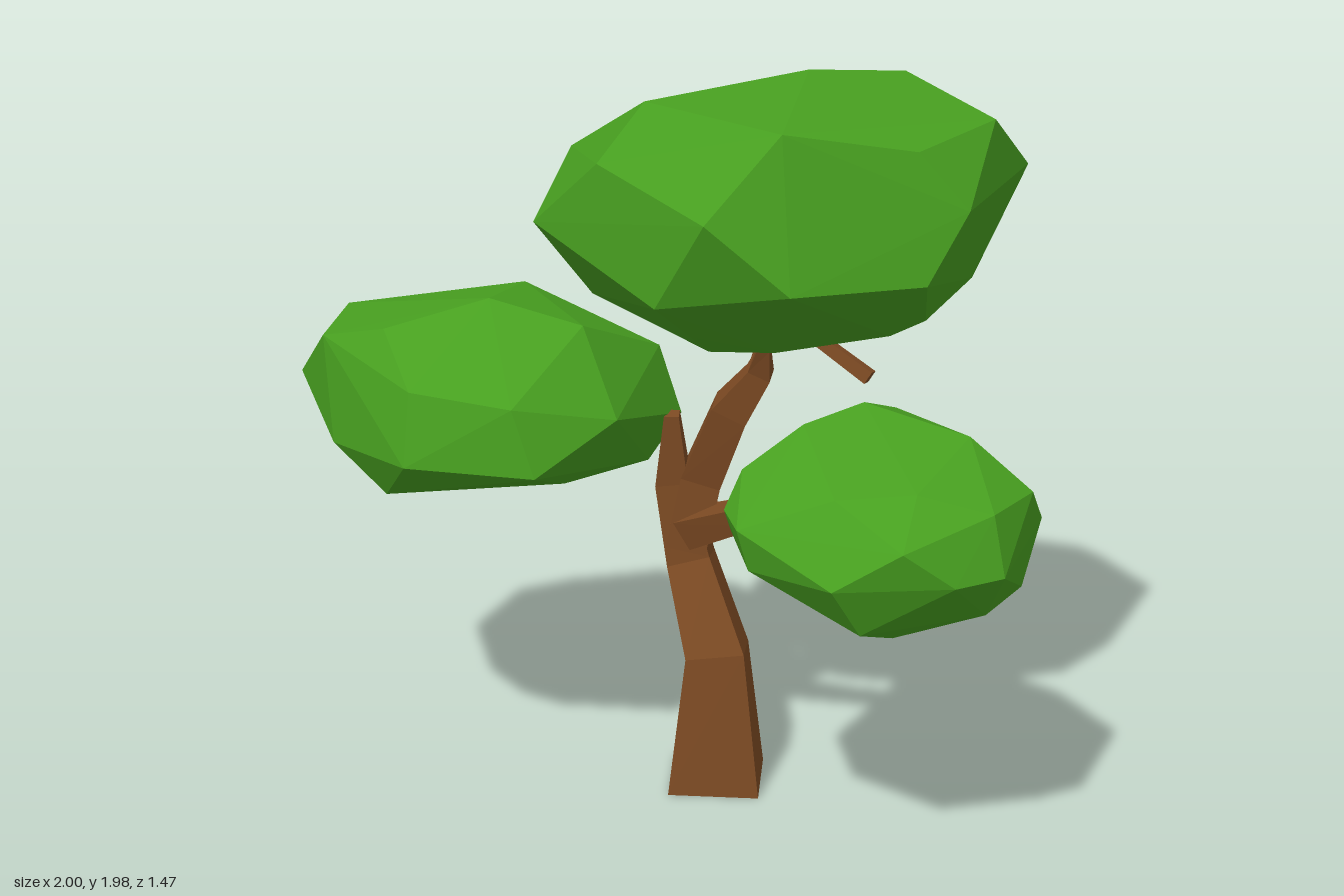
import * as THREE from 'three';
import { ConvexGeometry } from 'three/addons/geometries/ConvexGeometry.js';

const bark = new THREE.MeshStandardMaterial({ color: 0x7c4a23, flatShading: true });
const leaf = new THREE.MeshStandardMaterial({ color: 0x48a020, flatShading: true });

// Square-sectioned limb swept along stations [x, y, z, halfWidth]
function limbGeometry(stations, uprightStart) {
  const pts = stations.map(([x, y, z]) => new THREE.Vector3(x, y, z));
  const rings = stations.map((s, i) => {
    const t = pts[Math.min(i + 1, pts.length - 1)].clone().sub(pts[Math.max(i - 1, 0)]).normalize();
    if (i === 0 && uprightStart) t.set(0, 1, 0);
    const u = t.clone().cross(new THREE.Vector3(0, 0, 1)).normalize();
    const v = u.clone().cross(t);
    return [[-1, -1], [1, -1], [1, 1], [-1, 1]].map(([a, b]) =>
      pts[i].clone().addScaledVector(u, a * s[3]).addScaledVector(v, b * s[3]));
  });
  const out = [];
  const quad = (a, b, c, d) => out.push(a, b, c, a, c, d);
  for (let i = 0; i < rings.length - 1; i++) {
    for (let j = 0; j < 4; j++) {
      const k = (j + 1) % 4;
      quad(rings[i][k], rings[i][j], rings[i + 1][j], rings[i + 1][k]);
    }
  }
  const last = rings[rings.length - 1];
  quad(...rings[0]);
  quad(last[3], last[2], last[1], last[0]);
  const g = new THREE.BufferGeometry().setFromPoints(out);
  g.computeVertexNormals();
  return g;
}

// Faceted leaf clump wrapped around a few outer corners
function clumpGeometry(corners) {
  return new ConvexGeometry(corners.map((c) => new THREE.Vector3(...c)));
}

const limbs = {
  trunk: [[0.15, 0, -0.075, 0.124], [0.15, 0.385, -0.075, 0.08], [0.07, 0.62, -0.165, 0.06],
    [0.02, 0.85, -0.165, 0.045], [0.02, 1.05, -0.13, 0.02]],
  mainLimb: [[0.06, 0.66, -0.16, 0.055], [0.1, 0.86, -0.165, 0.055], [0.18, 1.07, -0.12, 0.05],
    [0.26, 1.19, -0.09, 0.032], [0.27, 1.27, -0.05, 0.016]],
  backBranch: [[0.21, 1.11, -0.11, 0.03], [0.25, 1.18, -0.22, 0.022], [0.28, 1.28, -0.38, 0.014]],
  frontBranch: [[0.06, 0.71, -0.15, 0.045], [0.28, 0.83, 0.0, 0.032], [0.45, 0.91, 0.07, 0.022]],
  hangingTwig: [[0.42, 1.29, -0.05, 0.016], [0.55, 1.21, 0.0, 0.018]],
};

const clumps = {
  topFoliage: [
    // front
    [0.15, 1.75, 0.52], [0.36, 1.57, 0.5], [0.33, 1.95, 0.4], [0.02, 1.5, 0.39], [0.69, 1.56, 0.34],
    [0.66, 1.88, 0.26], [-0.15, 1.8, 0.13], [0.79, 1.73, 0.25], [0.69, 1.4, 0.1],
    // sides and crown
    [0.85, 1.91, 0.02], [0.945, 1.74, -0.21], [-0.34, 1.59, -0.07], [-0.27, 1.73, -0.34],
    [-0.05, 1.91, -0.1], [0.37, 1.98, -0.2], [0.62, 1.96, -0.3],
    // back
    [0.83, 1.64, -0.54], [0.27, 1.68, -0.74], [0.49, 1.6, -0.71], [0.11, 1.6, -0.71], [-0.14, 1.75, -0.52],
    [-0.14, 1.47, -0.53], [0.3, 1.89, -0.52], [0.7, 1.86, -0.45], [0, 1.85, -0.42],
    // underside
    [0.81, 1.43, -0.2], [0.53, 1.26, -0.22], [0.4, 1.24, -0.2], [0.12, 1.23, -0.12], [-0.2, 1.36, -0.2],
    [0.4, 1.31, -0.63], [0.12, 1.33, -0.5], [0.75, 1.42, -0.48], [0.3, 1.27, 0], [0.1, 1.33, 0.08],
    [0.6, 1.35, 0.08],
  ],
  rightFoliage: [
    // front
    [-0.64, 1.02, 0.28], [-0.3, 1, 0.28], [-0.63, 1.21, 0.23], [-0.36, 1.18, 0.26], [-0.1, 1.12, 0.14],
    [-0.87, 1, 0.04],
    // sides and crown
    [-1, 1.12, -0.2], [-0.9, 1.28, -0.02], [-0.9, 1.26, -0.38], [-0.72, 1.33, 0.07], [-0.45, 1.4, 0],
    [-0.2, 1.34, 0.03], [-0.02, 1.22, -0.2], [0.04, 1.03, -0.2], [-0.4, 1.35, -0.33],
    // back
    [-0.9, 1.1, -0.51], [-0.75, 1.1, -0.61], [-0.47, 1.15, -0.68], [-0.35, 1, -0.68], [-0.2, 1.1, -0.61],
    [-0.06, 1.08, -0.48], [-0.5, 1.28, -0.5],
    // underside
    [-0.05, 0.89, -0.2], [-0.23, 0.83, -0.45], [-0.53, 0.85, -0.62], [-0.76, 0.835, -0.35], [-0.93, 0.95, -0.25],
    [-0.72, 0.88, 0.1], [-0.25, 0.91, 0.06],
  ],
  leftFoliage: [
    // front
    [0.48, 0.9, 0.73], [0.65, 1, 0.72], [0.78, 0.9, 0.68], [0.9, 0.9, 0.6], [0.24, 1, 0.59],
    [0.27, 0.89, 0.58], [0.48, 1.09, 0.6], [0.68, 1.1, 0.57], [0.87, 1.05, 0.56],
    // sides and crown
    [1, 0.93, 0.25], [0.97, 1.04, 0.36], [0.81, 1.16, 0.3], [0.54, 1.21, 0.2], [0.39, 1.18, 0.3],
    [0.24, 1.08, 0.37], [0.2, 1, 0.45], [0.21, 0.91, 0.35],
    // back
    [0.82, 1.05, 0.1], [0.62, 1.14, 0.03], [0.52, 1.04, -0.04], [0.34, 1.02, 0.05], [0.6, 0.88, 0],
    [0.8, 0.87, 0.1],
    // underside
    [0.95, 0.8, 0.4], [0.86, 0.76, 0.5], [0.63, 0.71, 0.55], [0.58, 0.72, 0.34], [0.41, 0.77, 0.45],
    [0.55, 0.76, 0.66], [0.6, 0.79, 0.15], [0.36, 0.84, 0.2],
  ],
};

export function createModel() {
  const tree = new THREE.Group();
  tree.name = 'tree';
  const add = (name, geometry, material) => {
    const mesh = new THREE.Mesh(geometry, material);
    mesh.name = name;
    tree.add(mesh);
  };
  for (const [name, path] of Object.entries(limbs)) add(name, limbGeometry(path, name === 'trunk'), bark);
  for (const [name, corners] of Object.entries(clumps)) add(name, clumpGeometry(corners), leaf);
  return tree;
}
